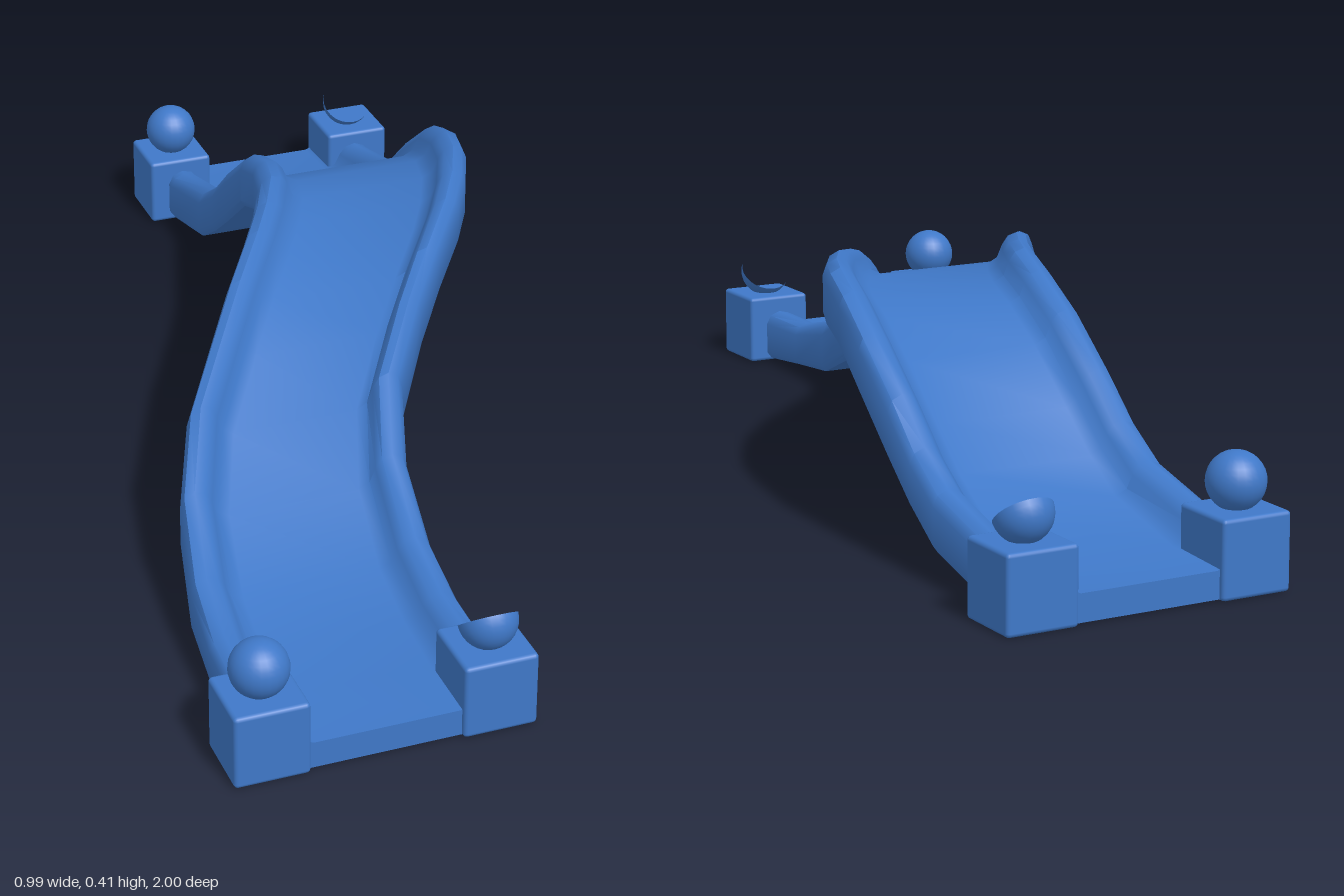
import * as THREE from 'three';
import { toCreasedNormals } from 'three/addons/utils/BufferGeometryUtils.js';
import { RoundedBoxGeometry } from 'three/addons/geometries/RoundedBoxGeometry.js';

const material = new THREE.MeshStandardMaterial({ color: 0x3f78c8 });

// Stations along the bridge: z, centre x, half width, rim height, underside height
const stations = [
  [0.99, -0.238, 0.216, 0.1, 0.003],
  [0.86, -0.238, 0.216, 0.1, 0.006],
  [0.74, -0.233, 0.214, 0.1, 0.018],
  [0.61, -0.223, 0.21, 0.13, 0.03],
  [0.46, -0.198, 0.202, 0.2, 0.09],
  [0.33, -0.148, 0.195, 0.28, 0.16],
  [0.2, -0.06, 0.196, 0.34, 0.235],
  [0.1, 0.01, 0.201, 0.38, 0.282],
  [-0.02, 0.09, 0.206, 0.405, 0.304],
  [-0.11, 0.14, 0.207, 0.411, 0.308],
  [-0.2, 0.18, 0.206, 0.414, 0.307],
  [-0.3, 0.207, 0.207, 0.395, 0.296],
  [-0.42, 0.229, 0.211, 0.35, 0.245],
  [-0.53, 0.234, 0.212, 0.27, 0.16],
  [-0.61, 0.236, 0.213, 0.2, 0.1],
  [-0.69, 0.237, 0.214, 0.15, 0.05],
  [-0.86, 0.238, 0.216, 0.107, 0.01],
  [-0.99, 0.238, 0.216, 0.1, 0.003],
];

// Half of the channel section, as fractions of half width and height
const halfSection = [
  [-0.96, 0], [-1, 0.12], [-1, 0.74], [-0.96, 0.92], [-0.87, 1],
  [-0.78, 0.95], [-0.72, 0.8], [-0.67, 0.58], [-0.57, 0.48],
];
const section = [...halfSection, ...halfSection.map(([u, v]) => [-u, v]).reverse()];

// Loft the section through the stations and cap both ends
function bridgeGeometry() {
  const n = section.length;
  const positions = [];
  const index = [];
  for (const [z, cx, hw, top, bottom] of stations) {
    for (const [u, v] of section) positions.push(cx + u * hw, bottom + v * (top - bottom), z);
  }
  for (let s = 0; s < stations.length - 1; s++) {
    for (let i = 0; i < n; i++) {
      const a = s * n + i;
      const b = s * n + (i + 1) % n;
      index.push(a, b, a + n, a + n, b, b + n);
    }
  }
  const outline = section.map(([u, v]) => new THREE.Vector2(u, v));
  const last = (stations.length - 1) * n;
  for (const face of THREE.ShapeUtils.triangulateShape(outline, [])) {
    const ccw = THREE.ShapeUtils.area(face.map((i) => outline[i])) > 0;
    const [a, b, c] = ccw ? face : [...face].reverse();
    index.push(a, b, c, last + c, last + b, last + a);
  }
  const geometry = new THREE.BufferGeometry();
  geometry.setAttribute('position', new THREE.Float32BufferAttribute(positions, 3));
  geometry.setIndex(index);
  return toCreasedNormals(geometry, 0.75);
}

function addMesh(parent, name, geometry, x, y, z) {
  const mesh = new THREE.Mesh(geometry, material);
  mesh.name = name;
  mesh.position.set(x, y, z);
  parent.add(mesh);
  return mesh;
}

export function createModel() {
  const model = new THREE.Group();
  model.name = 'curvedBridge';
  addMesh(model, 'bridgeDeck', bridgeGeometry(), 0, 0, 0);

  // Square posts with ball finials; the inner front and outer back balls are half shells
  const postGeometry = new RoundedBoxGeometry(0.126, 0.131, 0.126, 2, 0.007);
  const ballGeometry = new THREE.SphereGeometry(0.049, 24, 16);
  const halfBallGeometry = new THREE.SphereGeometry(0.049, 24, 8, 0, Math.PI * 2, Math.PI / 2, Math.PI / 2);
  const posts = [
    ['frontRight', -0.432, 0.937, false],
    ['frontLeft', -0.05, 0.937, true],
    ['backRight', 0.048, -0.937, false],
    ['backLeft', 0.432, -0.937, true],
  ];
  for (const [name, x, z, half] of posts) {
    addMesh(model, name + 'Post', postGeometry, x, 0.0655, z);
    const ball = addMesh(model, name + 'Ball', half ? halfBallGeometry : ballGeometry, x, 0.173, z);
    if (half) ball.rotation.x = -0.69 * Math.sign(z);
  }
  return model;
}
